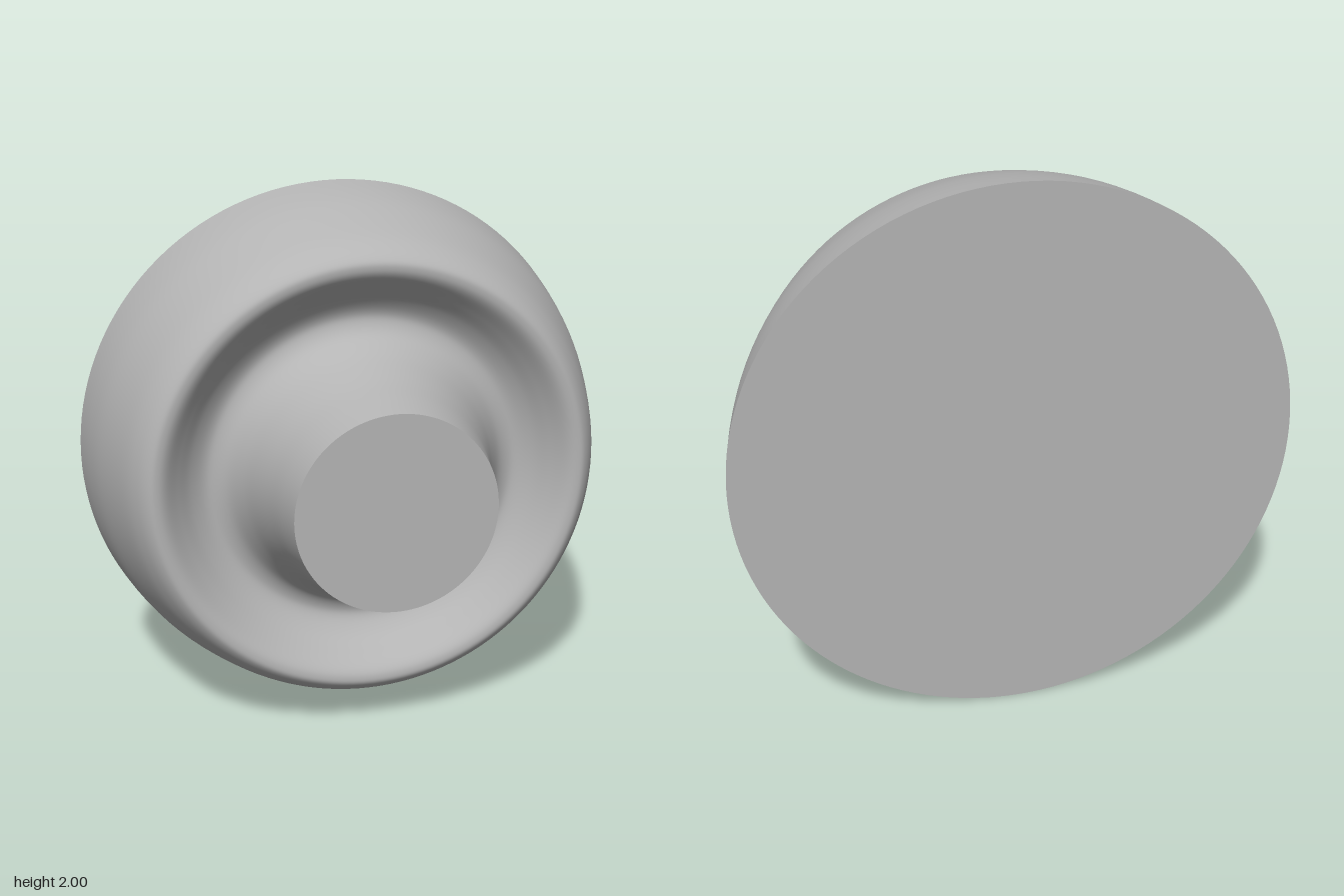
import * as THREE from 'three';

const BACK = -0.453, FRONT = 0.453, KNOB_RADIUS = 0.363, RIM_RADIUS = 1;

export function createModel() {
  const grey = new THREE.MeshStandardMaterial({ color: 0xb4b4b4 });
  grey.name = 'plain grey';
  const group = new THREE.Group();
  group.name = 'turnedKnob';

  const add = (name, geometry, z = 0) => {
    const mesh = new THREE.Mesh(geometry, grey);
    mesh.name = name;
    mesh.position.set(0, 1, z);
    group.add(mesh);
    return mesh;
  };

  // Turned profile (radius, depth): bowl side, rounded crest, groove, flared neck
  const profile = new THREE.SplineCurve([
    [RIM_RADIUS, BACK], [0.98, -0.33], [0.95, -0.2], [0.89, -0.015], [0.85, 0.07],
    [0.815, 0.112], [0.785, 0.12], [0.75, 0.105], [0.7, 0.055], [0.65, 0.005],
    [0.6, -0.027], [0.56, -0.03], [0.515, -0.005], [0.475, 0.05], [0.443, 0.12],
    [0.408, 0.23], [0.382, 0.35], [KNOB_RADIUS, FRONT],
  ].map(([r, z]) => new THREE.Vector2(r, z)));
  add('turnedBody', new THREE.LatheGeometry(profile.getPoints(110), 128).rotateX(Math.PI / 2));

  // Flat end faces
  add('knobFace', new THREE.CircleGeometry(KNOB_RADIUS, 128), FRONT);
  add('backFace', new THREE.CircleGeometry(RIM_RADIUS, 128).rotateY(Math.PI), BACK);

  return group;
}
